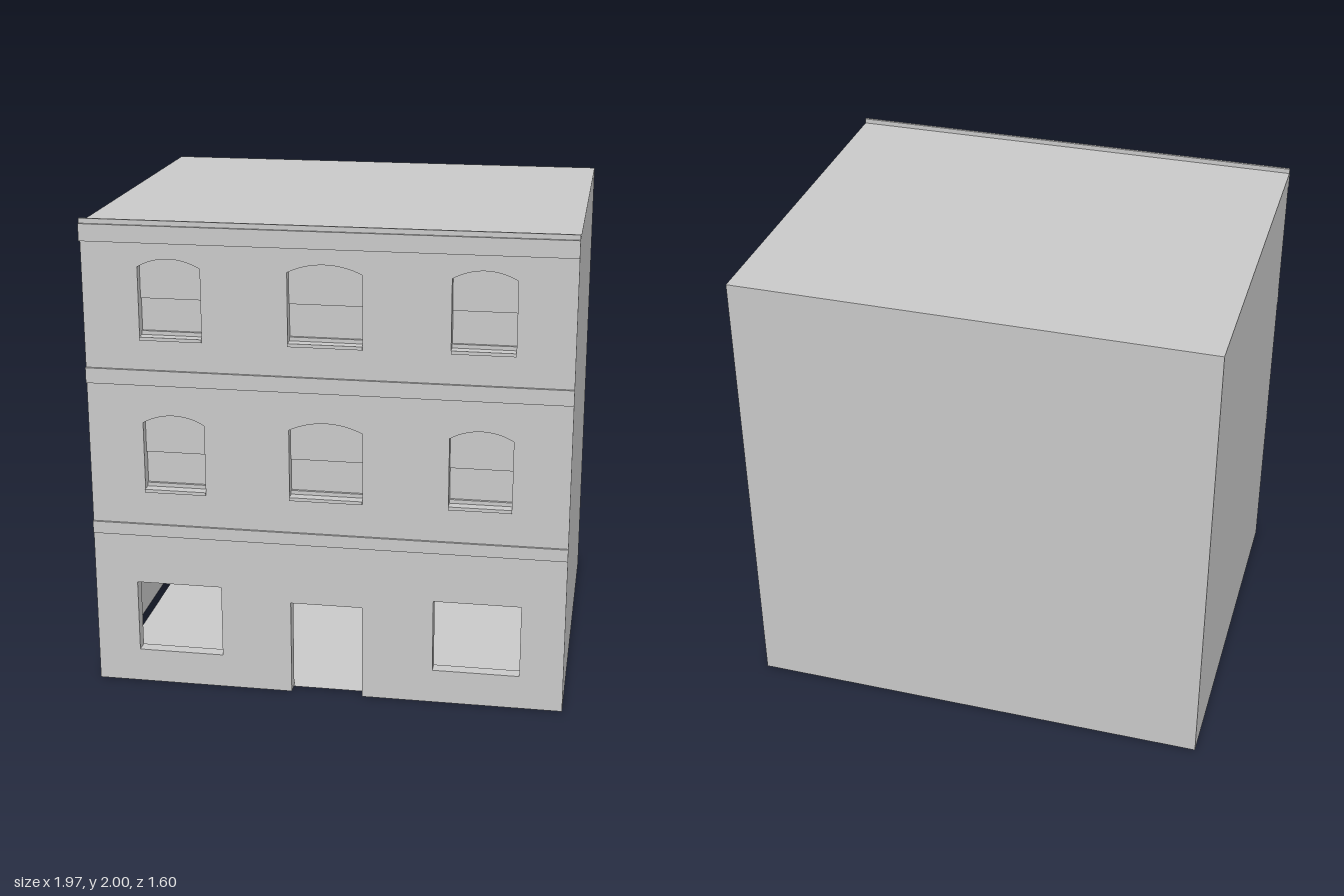
import * as THREE from 'three';

const W = 0.985, BACK = -0.8, FRONT = 0.785, ROOF = 1.98, INNER = 0.735;
const grey = new THREE.MeshStandardMaterial({ color: 0xcccccc, side: THREE.DoubleSide, flatShading: true });

function add(parent, name, geometry) {
  const mesh = new THREE.Mesh(geometry, grey);
  mesh.name = name;
  parent.add(mesh);
  return mesh;
}

// Box given by its limits on each axis
function block(parent, name, x0, x1, y0, y1, z0, z1) {
  const mesh = add(parent, name, new THREE.BoxGeometry(x1 - x0, y1 - y0, z1 - z0));
  mesh.position.set((x0 + x1) / 2, (y0 + y1) / 2, (z0 + z1) / 2);
}

// Single sheet for the thin outer shell
function sheet(parent, name, w, h, position, rx, ry) {
  const mesh = add(parent, name, new THREE.PlaneGeometry(w, h));
  mesh.position.set(...position);
  mesh.rotation.set(rx, ry, 0);
}

// Opening outline; rise > 0 gives a segmental arch on top
function opening(x0, x1, y0, y1, rise = 0, Type = THREE.Path) {
  const p = new Type();
  p.moveTo(x0, y0);
  p.lineTo(x1, y0);
  p.lineTo(x1, y1);
  if (rise > 0) {
    const half = (x1 - x0) / 2;
    const r = (half * half + rise * rise) / (2 * rise);
    const a = Math.asin(half / r);
    p.absarc((x0 + x1) / 2, y1 + rise - r, r, Math.PI / 2 - a, Math.PI / 2 + a, false);
  } else p.lineTo(x0, y1);
  p.lineTo(x0, y0);
  return p;
}

function wall(parent, name, shape, z0, z1) {
  const geometry = new THREE.ExtrudeGeometry(shape, { depth: z1 - z0, bevelEnabled: false, curveSegments: 10 });
  add(parent, name, geometry).position.z = z0;
}

export function createModel() {
  const model = new THREE.Group();
  model.name = 'building';

  // Outer shell and the inset floor
  const depth = FRONT - BACK, midZ = (FRONT + BACK) / 2;
  sheet(model, 'backWall', 2 * W, ROOF, [0, ROOF / 2, BACK], 0, Math.PI);
  for (const s of [-1, 1])
    sheet(model, s > 0 ? 'leftWall' : 'rightWall', depth, ROOF, [s * W, ROOF / 2, midZ], 0, s * Math.PI / 2);
  sheet(model, 'roof', 2 * W, depth, [0, ROOF, midZ], -Math.PI / 2, 0);
  sheet(model, 'floor', 2 * W - 0.07, depth - 0.07, [0, 0.004, midZ], -Math.PI / 2, 0);

  // Ground floor front with a doorway and two shop windows
  const ground = new THREE.Shape();
  [[-W, 0], [-0.15, 0], [-0.15, 0.405], [0.15, 0.405], [0.15, 0], [W, 0], [W, 0.68], [-W, 0.68]]
    .forEach(([x, y], i) => (i ? ground.lineTo(x, y) : ground.moveTo(x, y)));
  for (const x of [-0.805, 0.445]) ground.holes.push(opening(x, x + 0.36, 0.145, 0.455));
  wall(model, 'groundFloorFront', ground, INNER, 0.789);

  // Upper front with two rows of arched windows
  const upper = opening(-W, W, 0.68, ROOF, 0, THREE.Shape);
  for (const y of [0.86, 1.51]) {
    for (const [x0, x1] of [[-0.755, -0.5], [-0.15, 0.15], [0.5, 0.755]]) {
      upper.holes.push(opening(x0, x1, y, y + 0.3, 0.035));
      const unit = new THREE.Group();
      unit.name = 'sashWindow';
      model.add(unit);
      // Upper sash sits in front of the lower one
      const mid = y + 0.165;
      wall(unit, 'upperSash', opening(x0, x1, mid, y + 0.3, 0.035, THREE.Shape), 0.735, 0.75);
      block(unit, 'lowerSash', x0, x1, y, mid, 0.725, 0.738);
      block(unit, 'bottomRail', x0, x1, y, y + 0.03, 0.738, 0.75);
      block(unit, 'sill', x0, x1, y, y + 0.014, 0.745, 0.793);
    }
  }
  wall(model, 'upperFront', upper, INNER, FRONT);

  // Horizontal bands, cornice and cap across the front
  block(model, 'lowerBand', -W, W, 0.668, 0.72, 0.78, 0.795);
  block(model, 'upperBand', -W, W, 1.322, 1.386, 0.78, 0.796);
  block(model, 'cornice', -W, W, 1.91, ROOF, 0.78, 0.803);
  block(model, 'parapetCap', -W, W, ROOF - 0.005, 2, 0.782, 0.793);

  return model;
}
